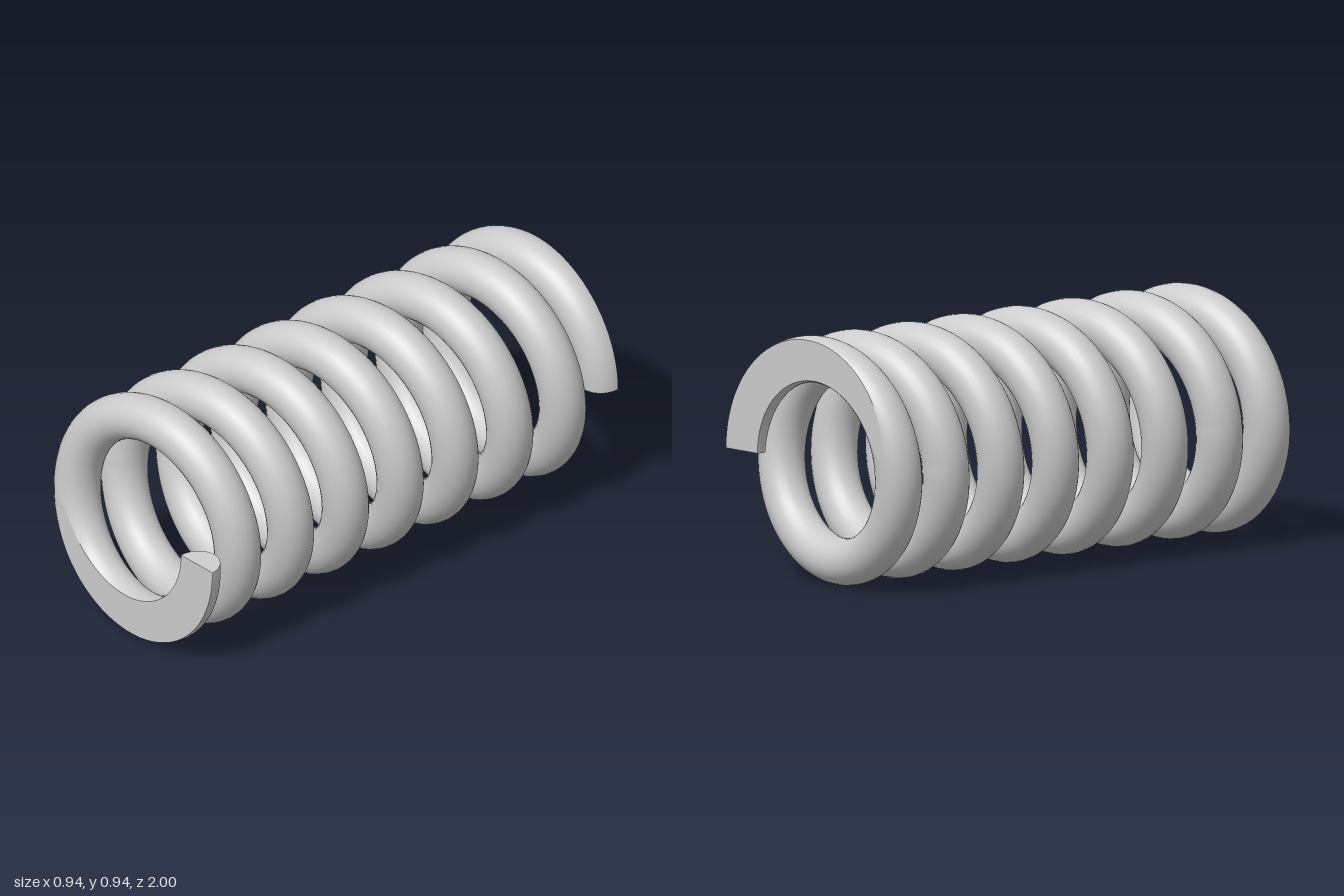
import * as THREE from 'three';

const COIL_R = 0.381, WIRE_R = 0.087, TURNS = 8, HALF = 1;
const STEPS = 80;   // sections per turn
const ARC = 14;     // segments per half of the wire's outline

// Axial position of the wire's centre: tight pitch at both ends, open in the middle
function axial(t) {
  if (t > TURNS / 2) return -axial(TURNS - t);
  const tight = 0.18, open = 0.27, a = 0.27, b = 1.5;
  if (t >= b) return open * (TURNS / 2 - t);
  const ramp = Math.max(0, t - a);
  return HALF - tight * t - (open - tight) * ramp * ramp / (2 * (b - a));
}

// Centre, outward and axial directions of the wire, plus the outline angles
// left over once the wire is ground flat at z = +-HALF
function section(t) {
  const th = t * Math.PI * 2, c = Math.cos(th), s = Math.sin(th), z = axial(t);
  const e = 1e-3, t0 = Math.max(0, t - e), t1 = Math.min(TURNS, t + e);
  const slope = Math.atan((axial(t0) - axial(t1)) / (t1 - t0) / (2 * Math.PI * COIL_R));
  const sa = Math.sin(slope), ca = Math.cos(slope), b = WIRE_R * ca;
  return {
    centre: new THREE.Vector3(COIL_R * c, COIL_R * (-s) + COIL_R + WIRE_R, z),
    out: new THREE.Vector3(c, -s, 0),
    along: new THREE.Vector3(-s * sa, -c * sa, ca),
    hi: Math.asin(Math.min(1, (HALF - z) / b)),
    lo: Math.asin(Math.max(-1, (-HALF - z) / b)),
  };
}

const direction = (s, phi) =>
  s.out.clone().multiplyScalar(Math.cos(phi)).addScaledVector(s.along, Math.sin(phi));
const onWire = (s, phi) => direction(s, phi).multiplyScalar(WIRE_R).add(s.centre);

// Grid surface from point(i, j), with an optional normal(i, j)
function grid(nu, nv, point, normal) {
  const pos = [], nor = [], index = [];
  for (let i = 0; i <= nu; i++) {
    for (let j = 0; j <= nv; j++) {
      pos.push(...point(i, j).toArray());
      if (normal) nor.push(...normal(i, j).toArray());
      if (i < nu && j < nv) {
        const a = i * (nv + 1) + j, b = a + nv + 1;
        index.push(a, a + 1, b, a + 1, b + 1, b);
      }
    }
  }
  const g = new THREE.BufferGeometry();
  g.setAttribute('position', new THREE.Float32BufferAttribute(pos, 3));
  g.setIndex(index);
  if (normal) g.setAttribute('normal', new THREE.Float32BufferAttribute(nor, 3));
  else g.computeVertexNormals();
  return g;
}

export function createModel() {
  const group = new THREE.Group();
  const material = new THREE.MeshStandardMaterial({ color: 0xcccccc });
  const add = (name, geometry) => {
    const mesh = new THREE.Mesh(geometry, material);
    mesh.name = name;
    group.add(mesh);
  };

  const total = TURNS * STEPS;
  const sections = Array.from({ length: total + 1 }, (_, i) => section(i / STEPS));
  const outer = (s, j) => s.lo + (s.hi - s.lo) * j / ARC;
  const inner = (s, j) => Math.PI - outer(s, ARC - j);

  // Round surface of the coiled wire, outer and inner halves
  for (const [name, angle] of [['coilOuterSurface', outer], ['coilInnerSurface', inner]]) {
    add(name, grid(total, ARC,
      (i, j) => onWire(sections[i], angle(sections[i], j)),
      (i, j) => direction(sections[i], angle(sections[i], j))));
  }

  // Flat ground faces over the first and last half turn
  const half = STEPS / 2;
  add('frontGroundFace', grid(half, 1, (i, j) => {
    const s = sections[i];
    return onWire(s, j ? Math.PI - s.hi : s.hi);
  }, () => new THREE.Vector3(0, 0, 1)));
  add('backGroundFace', grid(half, 1, (i, j) => {
    const s = sections[total - half + i];
    return onWire(s, j ? s.lo : Math.PI - s.lo);
  }, () => new THREE.Vector3(0, 0, -1)));

  // Cut ends of the wire, filled from a middle point to the outline
  const cap = (s, flip) => {
    const middle = onWire(s, s.lo).add(onWire(s, Math.PI - s.lo))
      .add(onWire(s, s.hi)).add(onWire(s, Math.PI - s.hi)).multiplyScalar(0.25);
    const rim = [];
    for (let j = 0; j <= ARC; j++) rim.push(onWire(s, outer(s, j)));
    for (let j = 0; j <= ARC; j++) rim.push(onWire(s, inner(s, j)));
    rim.push(rim[0]);
    const face = s.out.clone().cross(s.along).multiplyScalar(flip ? 1 : -1);
    return grid(1, rim.length - 1,
      (i, j) => ((i === 1) !== flip ? rim[j] : middle), () => face);
  };
  add('frontWireEnd', cap(sections[0], false));
  add('backWireEnd', cap(sections[total], true));

  return group;
}
